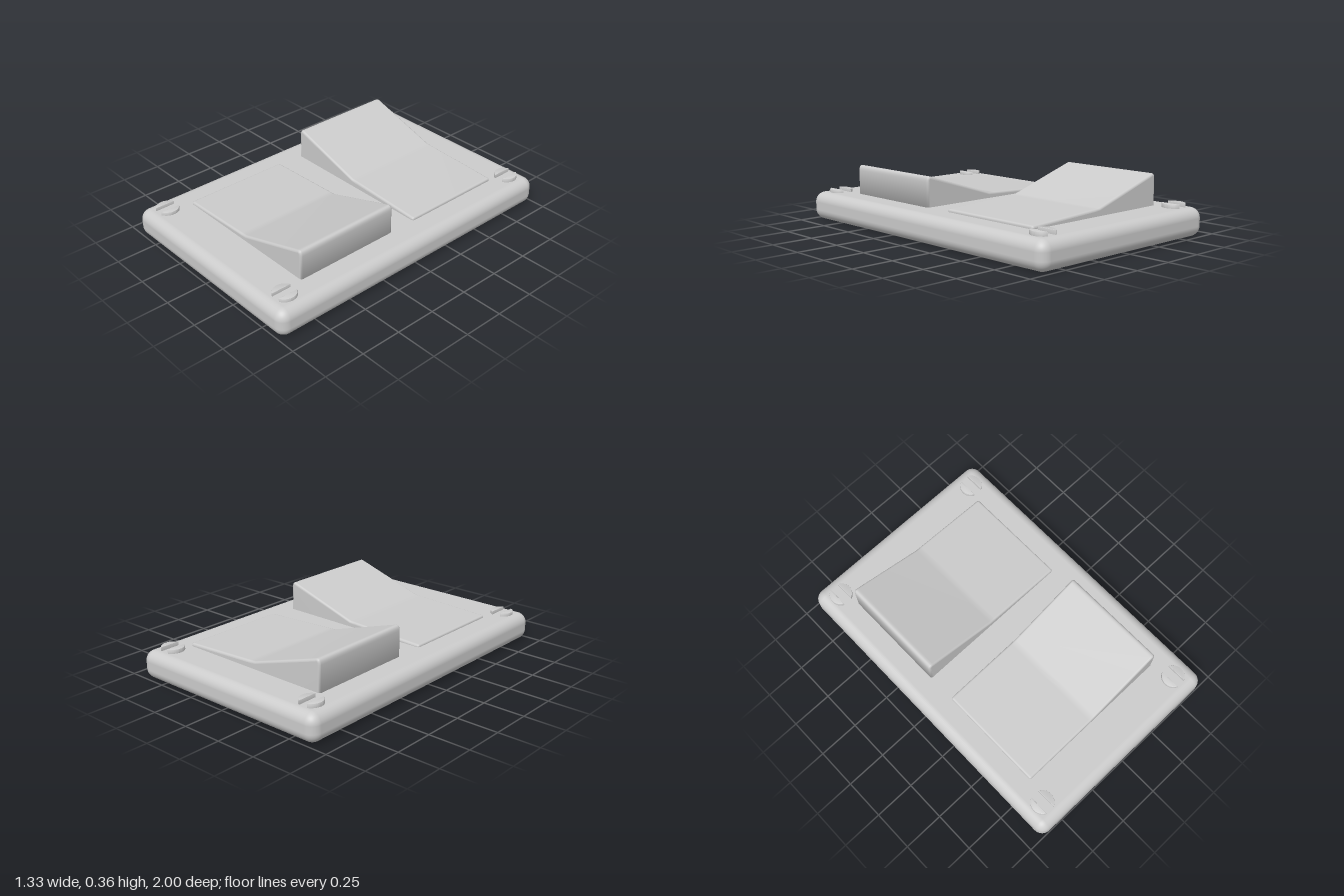
import * as THREE from 'three';
import { RoundedBoxGeometry } from 'three/addons/geometries/RoundedBoxGeometry.js';
import { mergeVertices, toCreasedNormals } from 'three/addons/utils/BufferGeometryUtils.js';

const material = new THREE.MeshStandardMaterial({ color: 0xcccccc });

function addMesh(parent, geometry, name) {
  const mesh = new THREE.Mesh(geometry, material);
  mesh.name = name;
  parent.add(mesh);
  return mesh;
}

// Shared vertices give area-weighted normals: flat faces with soft edges
function soften(geometry) {
  geometry.deleteAttribute('uv');
  geometry.deleteAttribute('normal');
  const merged = mergeVertices(geometry, 1e-4);
  merged.computeVertexNormals();
  return merged;
}

// Rocker with its raised end at +x, running from z0 to z1
function rockerGeometry(z0, z1, low, middle, high) {
  const bevel = 0.014;
  const s = new THREE.Shape();
  s.moveTo(-0.5, 0.1);
  s.lineTo(0.5, 0.1);
  s.lineTo(0.5, high - 0.035);
  s.quadraticCurveTo(0.5, high + 0.008, 0.465, high - 0.006);
  s.lineTo(0.02, middle);
  s.lineTo(-0.02, middle - 0.002);
  s.lineTo(-0.485, low);
  s.quadraticCurveTo(-0.5, low, -0.5, low - 0.014);
  s.closePath();
  const g = new THREE.ExtrudeGeometry(s, {
    depth: z1 - z0 - 2 * bevel, curveSegments: 6, bevelEnabled: true,
    bevelSize: bevel, bevelThickness: bevel, bevelOffset: -bevel, bevelSegments: 4,
  });
  g.translate(0, 0, z0 + bevel);
  return soften(g);
}

// One half of a slotted screw head, on the +x side of the slot
function screwHalfGeometry(height) {
  const radius = 0.068, slot = 0.028, bevel = 0.003;
  const a = Math.acos(slot / radius);
  const s = new THREE.Shape();
  s.absarc(0, 0, radius, -a, a, false);
  s.closePath();
  const g = new THREE.ExtrudeGeometry(s, {
    depth: height - 2 * bevel, curveSegments: 16, bevelEnabled: true,
    bevelSize: bevel, bevelThickness: bevel, bevelOffset: -bevel, bevelSegments: 2,
  });
  g.translate(0, 0, bevel);
  g.rotateX(-Math.PI / 2);
  return toCreasedNormals(g, 0.6);
}

export function createModel() {
  const model = new THREE.Group();
  model.name = 'doubleRockerSwitch';

  // Base plate
  const plate = addMesh(model, new RoundedBoxGeometry(1.33, 0.17, 2, 6, 0.062), 'wallPlate');
  plate.position.y = 0.085;

  // Two rockers tipped opposite ways
  addMesh(model, rockerGeometry(0.065, 0.73, 0.185, 0.204, 0.35), 'frontRocker');
  const back = addMesh(model, rockerGeometry(0.105, 0.77, 0.188, 0.214, 0.36), 'backRocker');
  back.rotation.y = Math.PI;

  // Slotted screws at the corners
  for (const x of [-0.54, 0.535]) {
    for (const z of [-0.875, 0.87]) {
      const screw = new THREE.Group();
      screw.name = 'screw';
      screw.position.set(x, 0.15, z);
      const half = screwHalfGeometry(z < 0 ? 0.044 : 0.04);
      addMesh(screw, half, 'screwHalf');
      addMesh(screw, half, 'screwHalf').rotation.y = Math.PI;
      model.add(screw);
    }
  }
  return model;
}
